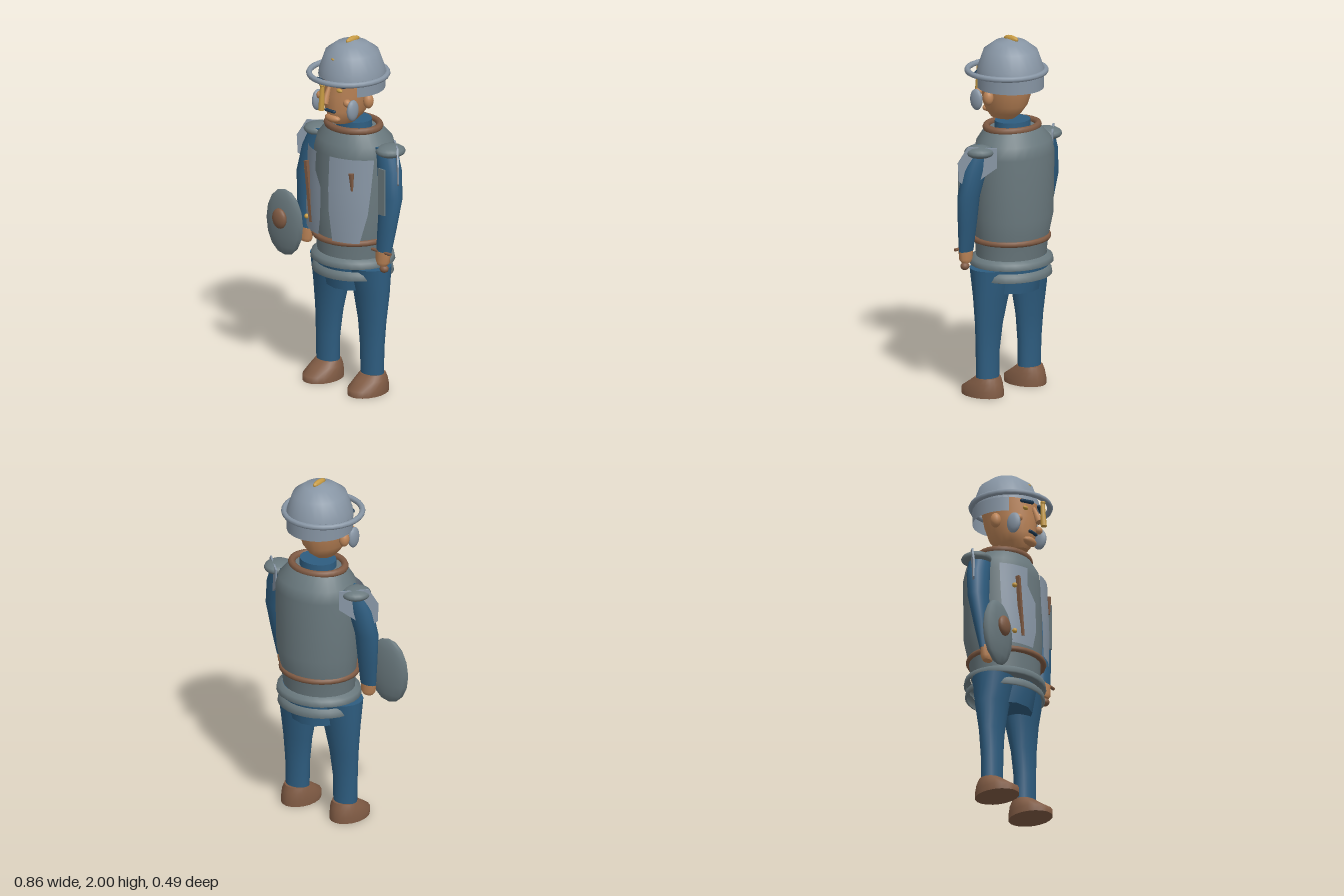
import * as THREE from 'three';

const mat = (name, color, side = THREE.FrontSide) => {
  const m = new THREE.MeshStandardMaterial({ color, side });
  m.name = name;
  return m;
};

export function createModel() {
  const lightSteel = mat('light steel', 0x8896a5, THREE.DoubleSide);
  const darkSteel = mat('dark steel', 0x6a797e, THREE.DoubleSide);
  const blue = mat('blue cloth', 0x2e5d80);
  const brown = mat('brown leather', 0x805b44);
  const skin = mat('skin', 0xbd8558);
  const gold = mat('gold', 0xc69a42);
  const navy = mat('dark navy', 0x1d3b55);

  const root = new THREE.Group();
  root.name = 'soldier';
  const body = new THREE.Group();
  body.name = 'body';
  body.position.x = 0.045;
  root.add(body);

  const add = (name, geo, material, x = 0, y = 0, z = 0) => {
    const m = new THREE.Mesh(geo, material);
    m.name = name;
    m.position.set(x, y, z);
    body.add(m);
    return m;
  };
  const ball = (name, material, x, y, z, rx, ry, rz, w = 16, h = 10) => {
    const m = add(name, new THREE.SphereGeometry(1, w, h), material, x, y, z);
    m.scale.set(rx, ry, rz);
    return m;
  };
  // Horizontal ring with elliptical outline
  const ring = (name, material, y, z, rx, rz, tube) => {
    const m = add(name, new THREE.TorusGeometry(1, tube / rx, 8, 28).rotateX(Math.PI / 2), material, 0, y, z);
    m.scale.set(rx, rx, rz);
    return m;
  };
  // Capped solid through elliptical sections [y, cx, cz, rx, rz], bottom to top
  const loft = (sections, n = 20) => {
    const p = [], idx = [];
    const point = ([y, cx, cz, rx, rz], j) => {
      const a = (j / n) * Math.PI * 2;
      p.push(cx + Math.cos(a) * rx, y, cz + Math.sin(a) * rz);
    };
    sections.forEach((s) => { for (let j = 0; j < n; j++) point(s, j); });
    for (let i = 0; i < sections.length - 1; i++) {
      for (let j = 0; j < n; j++) {
        const a = i * n + j, b = i * n + ((j + 1) % n);
        idx.push(a, a + n, b, b, a + n, b + n);
      }
    }
    [sections[0], sections[sections.length - 1]].forEach((s, top) => {
      const c = p.length / 3;
      p.push(s[1], s[0], s[2]);
      for (let j = 0; j < n; j++) point(s, j);
      for (let j = 0; j < n; j++) {
        const a = c + 1 + j, b = c + 1 + ((j + 1) % n);
        if (top) idx.push(c, b, a); else idx.push(c, a, b);
      }
    });
    const g = new THREE.BufferGeometry();
    g.setAttribute('position', new THREE.Float32BufferAttribute(p, 3));
    g.setIndex(idx);
    g.computeVertexNormals();
    return g;
  };
  const lathe = (pts, n = 28) => new THREE.LatheGeometry(pts.map(([r, y]) => new THREE.Vector2(r, y)), n);

  // Torso, collar and belt
  add('cuirass', loft([
    [0.77, 0, -0.02, 0.205, 0.18], [0.88, 0, -0.025, 0.215, 0.19], [1.0, 0, -0.035, 0.235, 0.205],
    [1.35, 0, -0.04, 0.243, 0.2], [1.42, 0, -0.04, 0.222, 0.19], [1.49, 0, -0.03, 0.165, 0.14],
  ], 28), darkSteel);
  add('neck', loft([[1.42, 0, -0.03, 0.11, 0.095], [1.53, 0, -0.03, 0.105, 0.09]]), blue);
  ring('collar', brown, 1.495, -0.027, 0.155, 0.13, 0.021);
  ring('belt', brown, 0.872, -0.015, 0.212, 0.2, 0.017);

  // Flared waist bands and cloth skirt
  const bands = [[0.725, 0.775, 0.242, 0.205], [0.655, 0.705, 0.235, 0.212]];
  bands.forEach(([y0, y1, r0, r1]) => {
    const m = add('waistBand', lathe([[r0 - 0.012, y0], [r0, y0 + 0.004], [r0 - 0.006, y0 + 0.035], [r1, y1]]), darkSteel, 0, 0, -0.022);
    m.scale.z = 0.9;
  });
  add('skirt', loft([[0.58, 0, -0.025, 0.155, 0.15], [0.72, 0, -0.02, 0.16, 0.175]], 12), blue);

  // Curved breast plates following the chest
  const breastPlate = (rows) => {
    const p = [], idx = [], n = 8;
    rows.forEach(([y, a, b, off]) => {
      for (let j = 0; j <= n; j++) {
        const x = a + ((b - a) * j) / n;
        p.push(x, y, -0.03 + off + 0.218 * Math.sqrt(1 - (x / 0.275) ** 2));
      }
    });
    for (let i = 0; i < rows.length - 1; i++) {
      for (let j = 0; j < n; j++) {
        const a = i * (n + 1) + j, b = a + n + 1;
        idx.push(a, b, a + 1, a + 1, b, b + 1);
      }
    }
    const g = new THREE.BufferGeometry();
    g.setAttribute('position', new THREE.Float32BufferAttribute(p, 3));
    g.setIndex(idx);
    g.computeVertexNormals();
    return g;
  };
  add('rightBreastPlate', breastPlate([
    [0.895, -0.215, -0.055, 0.01], [1.0, -0.225, -0.035, 0.015], [1.17, -0.23, -0.035, 0.01],
    [1.26, -0.23, -0.09, 0.005], [1.365, -0.23, -0.085, 0],
  ]), lightSteel);
  add('leftBreastPlate', breastPlate([
    [0.885, 0.05, 0.195, 0.01], [1.05, 0.03, 0.23, 0.015], [1.18, 0.022, 0.238, 0.01],
    [1.365, 0.022, 0.245, 0],
  ]), lightSteel);
  const strap = add('chestStrap', new THREE.BoxGeometry(0.02, 0.345, 0.02), brown, -0.147, 1.117, 0.17);
  strap.rotation.z = 0.12;
  [1.235, 0.96].forEach((y) => ball('stud', gold, -0.178, y, 0.155, 0.014, 0.014, 0.014));
  const tab = add('chestTab', new THREE.CylinderGeometry(0.016, 0.006, 0.1, 6), brown, 0.16, 1.24, 0.158);
  tab.rotation.z = 0.05;

  // Shoulder flap outline
  const flap = new THREE.Shape([[-0.1, 0.1], [0.06, 0.11], [0.115, 0.02], [0.11, -0.08], [0.07, -0.115], [0, -0.08], [-0.1, -0.01]]
    .map(([x, y]) => new THREE.Vector2(x, y)));

  // Paired parts
  [-1, 1].forEach((s) => {
    const side = s > 0 ? 'left' : 'right';
    add(side + 'Leg', loft([
      [0.09, s * 0.165, 0, 0.07, 0.056], [0.25, s * 0.165, 0, 0.075, 0.055], [0.4, s * 0.16, -0.005, 0.09, 0.06],
      [0.56, s * 0.15, -0.01, 0.112, 0.082], [0.72, s * 0.14, -0.005, 0.125, 0.115],
    ]), blue);
    add(side + 'Shoe', loft([
      [0, s * 0.168, 0.035, 0.096, 0.13], [0.035, s * 0.168, 0.035, 0.096, 0.13],
      [0.075, s * 0.167, 0.01, 0.086, 0.095], [0.105, s * 0.166, -0.003, 0.073, 0.068],
    ]), brown);
    add(side + 'Arm', loft([
      [0.83, s * 0.29, 0.043, 0.05, 0.028], [0.98, s * 0.3, 0.025, 0.06, 0.042], [1.15, s * 0.31, 0.005, 0.07, 0.053],
      [1.3, s * 0.28, -0.015, 0.075, 0.058], [1.42, s * 0.235, -0.03, 0.07, 0.055],
    ]), blue);
    add(side + 'Hand', loft([
      [0.765, s * 0.285, 0.047, 0.03, 0.022], [0.785, s * 0.288, 0.047, 0.044, 0.03], [0.845, s * 0.29, 0.045, 0.05, 0.028],
    ], 12), skin);
    ball(side + 'ShoulderPad', darkSteel, s * 0.268, 1.4, -0.035, 0.08, 0.035, 0.085, 20, 8);
    const f = add(side + 'ShoulderFlap', new THREE.ExtrudeGeometry(flap, { depth: 0.01, bevelEnabled: false }).translate(0, 0, -0.005),
      lightSteel, s * 0.293, 1.325, -0.055);
    f.rotation.y = s > 0 ? -0.72 : Math.PI + 0.72;

    // Paired face parts
    ball(side + 'Ear', skin, s * 0.148, 1.67, 0.012, 0.028, 0.042, 0.03);
    ball(side + 'Cheek', skin, s * 0.1, 1.675, 0.13, 0.023, 0.022, 0.022);
    ball(side + 'CheekGuard', lightSteel, s * 0.13, 1.637, 0.118, 0.022, 0.06, 0.042);
    ball(side + 'Eye', gold, s * 0.062, 1.743, 0.15, 0.02, 0.011, 0.012);
    const brow = add(side + 'Brow', new THREE.CapsuleGeometry(0.011, 0.07, 4, 8).rotateZ(Math.PI / 2), navy, s * 0.066, 1.777, 0.163);
    brow.rotation.set(0, s * 0.35, s * -0.1);
  });

  // Sword: grip, guard, pommel and upright blade along the left arm
  const guard = add('swordGuard', new THREE.CylinderGeometry(0.009, 0.009, 0.14, 8), brown, 0.29, 0.845, 0.06);
  guard.rotation.z = Math.PI / 2;
  ball('swordPommel', brown, 0.297, 0.745, 0.045, 0.026, 0.022, 0.024);
  add('swordBlade', new THREE.BoxGeometry(0.045, 0.265, 0.01), darkSteel, 0.3, 1.195, 0.068);

  // Round shield with boss
  ball('shield', darkSteel, -0.345, 0.885, 0.152, 0.136, 0.19, 0.038, 12, 8);
  ball('shieldBoss', brown, -0.345, 0.915, 0.195, 0.049, 0.058, 0.026);

  // Head and face
  add('head', loft([
    [1.53, 0, 0.045, 0.05, 0.075], [1.565, 0, 0.035, 0.08, 0.11], [1.61, 0, 0.025, 0.108, 0.132],
    [1.7, 0, 0.013, 0.13, 0.15], [1.82, 0, 0.0, 0.145, 0.16],
  ]), skin);
  const nose = add('nose', new THREE.CylinderGeometry(0.01, 0.022, 0.1, 10), skin, 0, 1.715, 0.182);
  nose.rotation.x = -0.4;
  ball('lip', skin, 0, 1.568, 0.138, 0.053, 0.024, 0.028);
  const mouth = add('moustache', new THREE.CapsuleGeometry(0.011, 0.055, 4, 8).rotateZ(Math.PI / 2), navy, 0, 1.615, 0.158);
  mouth.scale.y = 0.8;

  // Helmet
  const dome = add('helmetDome', lathe([[0.182, 1.79], [0.176, 1.83], [0.145, 1.92], [0.085, 1.965], [0.0001, 1.985]], 24), lightSteel, 0, 0, -0.015);
  dome.scale.z = 1.03;
  ring('helmetBrim', lightSteel, 1.8, 0.015, 0.214, 0.214, 0.016);
  const gap = 0.93;
  const guardBand = add('neckGuard', new THREE.CylinderGeometry(0.18, 0.178, 0.09, 24, 1, true, gap, Math.PI * 2 - gap * 2),
    lightSteel, 0, 1.755, -0.015);
  guardBand.scale.z = 1.04;
  const nasal = add('nasalBar', new THREE.CylinderGeometry(0.012, 0.017, 0.15, 8), gold, 0, 1.712, 0.224);
  nasal.rotation.x = -0.06;
  ball('nasalRivet', gold, 0, 1.78, 0.222, 0.014, 0.014, 0.014);
  ball('helmetCrest', gold, 0, 1.98, -0.02, 0.017, 0.02, 0.052, 10, 8);
  ball('helmetStud', gold, 0, 1.905, 0.132, 0.015, 0.008, 0.01);

  return root;
}
